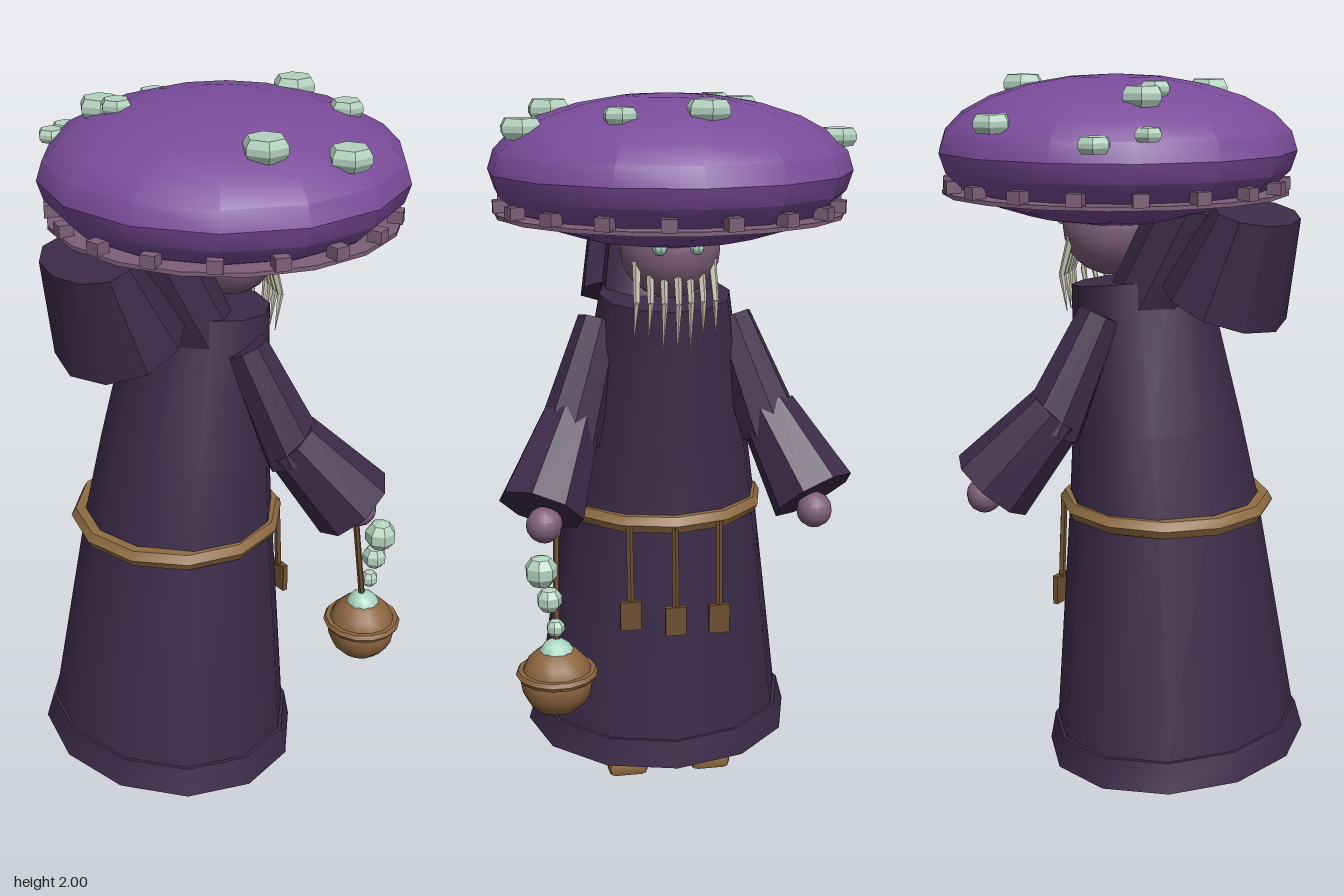
import * as THREE from 'three';
import { toCreasedNormals } from 'three/addons/utils/BufferGeometryUtils.js';
import { RoundedBoxGeometry } from 'three/addons/geometries/RoundedBoxGeometry.js';

const paint = (name, color) => {
  const m = new THREE.MeshStandardMaterial({ color });
  m.name = name;
  return m;
};

const V = (x, y, z) => new THREE.Vector3(x, y, z);

// Capped skin over elliptical rings, bottom to top: [y, centre z, radius x, radius z, dy/dz tilt]
function loft(rings, n) {
  const pos = [], idx = [];
  for (const [y, cz, rx, rz, tilt] of rings) {
    for (let i = 0; i < n; i++) {
      const a = (i / n) * Math.PI * 2, dz = Math.cos(a) * rz;
      pos.push(Math.sin(a) * rx, y + dz * tilt, cz + dz);
    }
  }
  const last = (rings.length - 1) * n, lo = rings.length * n, hi = lo + 1;
  const end = rings[rings.length - 1];
  pos.push(0, rings[0][0], rings[0][1], 0, end[0], end[1]);
  for (let i = 0; i < n; i++) {
    const j = (i + 1) % n;
    for (let r = 0; r < last; r += n) idx.push(r + i, r + j, r + n + j, r + i, r + n + j, r + n + i);
    idx.push(lo, j, i, hi, last + i, last + j);
  }
  const g = new THREE.BufferGeometry();
  g.setAttribute('position', new THREE.Float32BufferAttribute(pos, 3));
  g.setIndex(idx);
  g.computeVertexNormals();
  return g;
}

// Tapered bar from a to b
function bar(a, b, ra, rb, n) {
  const d = b.clone().sub(a);
  const g = new THREE.CylinderGeometry(rb, ra, d.length(), n);
  g.applyQuaternion(new THREE.Quaternion().setFromUnitVectors(V(0, 1, 0), d.normalize()));
  const c = a.clone().add(b).multiplyScalar(0.5);
  return g.translate(c.x, c.y, c.z);
}

export function createModel() {
  const model = new THREE.Group();
  const cloth = paint('dark cloth', 0x3c2b48);
  const purple = paint('cap purple', 0x7a4c9a);
  const skin = paint('mauve skin', 0x7d5f78);
  const tan = paint('tan leather', 0x8f6c42);
  const brown = paint('brown leather', 0x6e4f2f);
  const bronze = paint('bronze', 0x8c653f);
  const pale = paint('pale green crystal', 0xb4d2bf);
  const glow = paint('glowing green', 0xa9d6c2);
  const hair = paint('beard cream', 0xc9c6b0);

  const add = (name, geo, mat, crease = 0.6) => {
    const m = new THREE.Mesh(toCreasedNormals(geo, crease), mat);
    m.name = name;
    model.add(m);
    return m;
  };

  // Robe, hem and hood hanging on the back
  add('robe', loft([
    [0.19, 0.165, 0.37, 0.335, 0.055],
    [0.83, 0.12, 0.285, 0.26, 0.055],
    [1.06, 0.095, 0.25, 0.23, 0.07],
    [1.455, 0.035, 0.185, 0.185, 0.13],
  ], 12), cloth);
  add('robeHem', loft([
    [0.11, 0.17, 0.402, 0.36, 0.055],
    [0.19, 0.165, 0.38, 0.343, 0.055],
  ], 12), cloth);
  add('hood', loft([
    [1.415, 0.305, 0.21, 0.155, -0.45],
    [1.655, 0.4, 0.165, 0.095, -0.28],
  ], 10), cloth);
  add('collar', loft([
    [1.4, 0.1, 0.18, 0.13, -0.1],
    [1.66, 0.22, 0.13, 0.13, -0.1],
  ], 10), cloth);

  // Belt with three hanging straps and tags
  const belt = new THREE.TorusGeometry(0.277, 0.027, 6, 12).rotateX(Math.PI / 2).rotateY(Math.PI / 2);
  add('belt', belt.scale(1, 1, 0.99).translate(0, 0.83, 0.128), tan);
  [[0.13, 0.6], [0.005, 0.585], [-0.125, 0.575]].forEach(([x, y]) => {
    const z = 0.12 - 0.3 * Math.sqrt(1 - (x / 0.33) ** 2);
    add('beltStrap', bar(V(x, 0.83, z + 0.02), V(x, y, z + 0.008), 0.01, 0.01, 5), brown);
    add('beltTag', new THREE.BoxGeometry(0.06, 0.085, 0.016).translate(x, y - 0.035, z + 0.005), brown);
  });

  // Arms, hands and shoes
  for (const s of [1, -1]) {
    const shoulder = V(s * 0.185, 1.38, 0.03), elbow = V(s * 0.29, 1.07, -0.07), cuff = V(s * 0.38, 0.912, -0.2);
    add('upperSleeve', bar(shoulder, elbow, 0.062, 0.09, 8), cloth);
    add('lowerSleeve', bar(V(s * 0.28, 1.12, -0.05), cuff, 0.085, 0.122, 8), cloth);
    add('hand', new THREE.SphereGeometry(0.05, 12, 8).translate(s * 0.375, 0.88, -0.23), skin);
    add('shoe', new RoundedBoxGeometry(0.12, 0.056, 0.225, 1, 0.02).translate(s * 0.125, 0.031, 0.048), tan);
  }

  // Head, eyes and beard strands
  add('head', new THREE.SphereGeometry(0.138, 16, 12).translate(0, 1.594, -0.053), skin);
  for (const s of [1, -1]) {
    add('eye', new THREE.SphereGeometry(0.02, 8, 6).translate(s * 0.05, 1.61, -0.182), glow);
  }
  for (let i = -3; i <= 3; i++) {
    const x = i * 0.034, z = 0.012 * Math.abs(i);
    const drop = 0.02 * Math.abs(i) - (i % 2 ? 0.02 : 0);
    const knee = V(x * 1.05, 1.46, -0.185 + z);
    add('beardStrand', bar(V(x, 1.57, -0.155 + z), knee, 0.012, 0.009, 5), hair);
    add('beardStrand', bar(knee, V(x * 1.1, 1.32 + drop, -0.165 + z), 0.009, 0.001, 5), hair);
  }

  // Mushroom cap with its ring of studs
  const capZ = -0.038, capR = 0.492;
  add('cap', new THREE.SphereGeometry(1, 14, 12).rotateY(Math.PI / 2)
    .scale(capR, 0.2, capR).translate(0, 1.8, capZ), purple);
  add('capRing', new THREE.LatheGeometry([
    new THREE.Vector2(0.38, 1.685), new THREE.Vector2(0.475, 1.685),
    new THREE.Vector2(0.475, 1.696), new THREE.Vector2(0.38, 1.696), new THREE.Vector2(0.38, 1.685),
  ], 18).translate(0, 0, capZ), skin);
  for (let i = 0; i < 18; i++) {
    const a = (i / 18) * Math.PI * 2 + Math.PI / 2;
    add('capStud', new THREE.BoxGeometry(0.04, 0.034, 0.04).translate(0, 1.71, 0.455)
      .rotateY(a).translate(0, 0, capZ), skin);
  }

  // Hexagonal crystals sitting on the cap: x, z, radius
  [
    [-0.05, -0.312, 0.058], [0.17, -0.305, 0.045], [-0.44, -0.125, 0.051],
    [0.4, -0.115, 0.058], [0.31, 0.075, 0.06], [-0.432, 0.175, 0.044],
    [-0.235, 0.19, 0.056], [-0.165, 0.185, 0.042], [-0.345, 0.275, 0.037],
  ].forEach(([x, z, r]) => {
    const d2 = (x * x + (z - capZ) ** 2) / (capR * capR);
    const y = 1.8 + 0.2 * Math.sqrt(Math.max(0, 1 - d2));
    const h = r * 0.46;
    const profile = [[0, -h], [0.8 * r, -h], [r, -h * 0.3], [r, h * 0.3], [0.8 * r, h], [0, h]];
    add('capCrystal', new THREE.LatheGeometry(profile.map(p => new THREE.Vector2(...p)), 6)
      .translate(x, y + 0.004, z), pale, 0.1);
  });

  // Hanging censer: rod, bowl, rim, ember and rising puffs
  const cx = 0.355, cz = -0.285;
  add('censerRod', bar(V(0.345, 0.86, -0.245), V(cx, 0.53, cz), 0.009, 0.009, 6), brown);
  add('censerBowl', new THREE.SphereGeometry(0.1, 14, 10).translate(cx, 0.45, cz), bronze);
  add('censerRim', new THREE.TorusGeometry(0.1, 0.013, 6, 14).rotateX(Math.PI / 2)
    .translate(cx, 0.472, cz), bronze);
  add('censerEmber', new THREE.SphereGeometry(0.05, 10, 8).translate(cx, 0.52, cz), glow);
  [[0.358, 0.61, 0.026], [0.373, 0.692, 0.036], [0.393, 0.775, 0.046]].forEach(([x, y, r]) => {
    add('censerPuff', new THREE.SphereGeometry(r, 7, 5).translate(x, y, -0.304), pale, 0.1);
  });

  return model;
}
